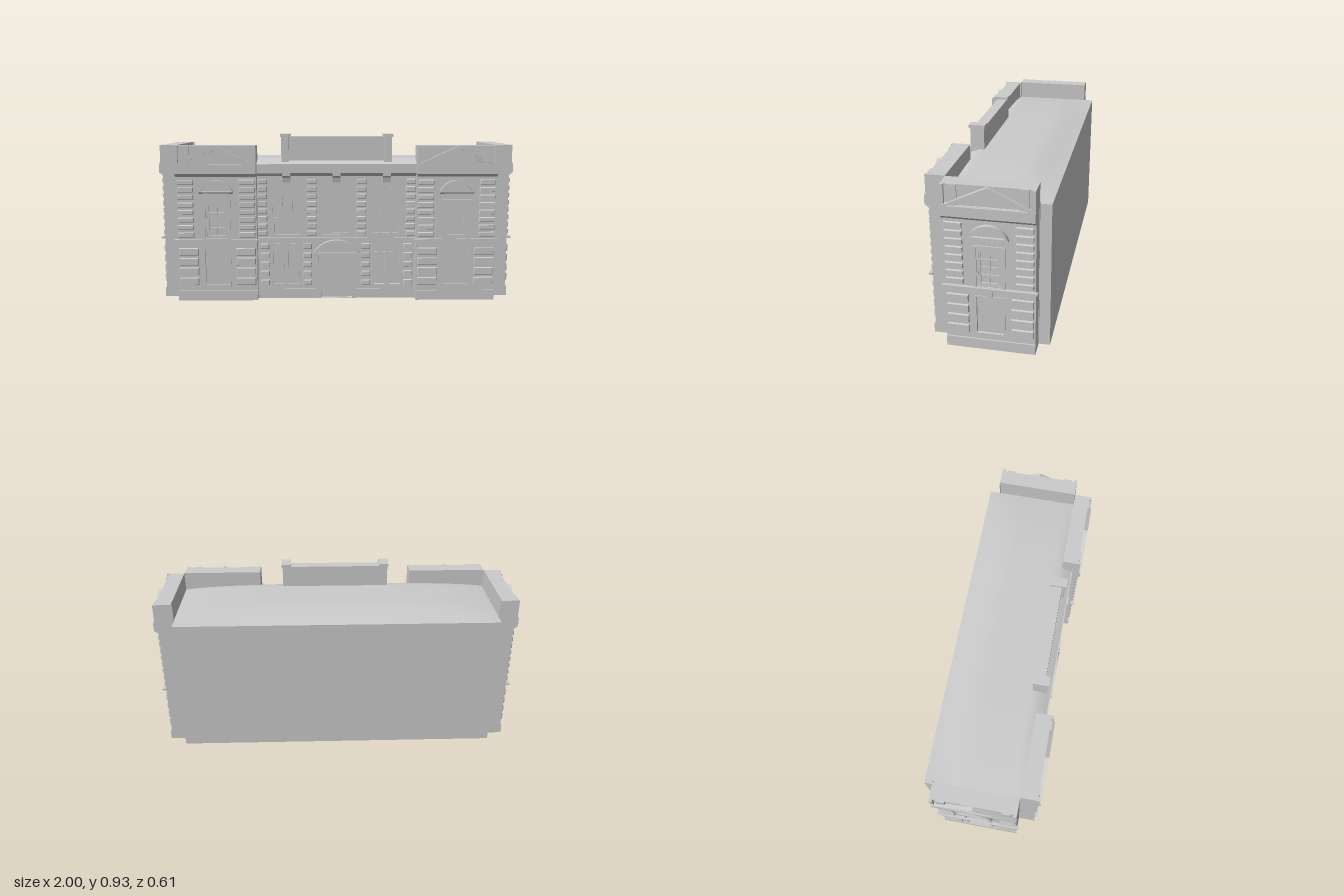
import * as THREE from 'three';

const mat = new THREE.MeshStandardMaterial({ color: 0xcccccc, side: THREE.DoubleSide, flatShading: true });
const roofMat = new THREE.MeshStandardMaterial({ color: 0xcccccc, side: THREE.DoubleSide });

function add(group, name, geometry, material = mat) {
  const mesh = new THREE.Mesh(geometry, material);
  mesh.name = name;
  group.add(mesh);
  return mesh;
}

// Box given by its limits; skip lists faces left open (0 +x, 1 -x, 2 +y, 3 -y, 4 +z, 5 -z)
function box(group, name, x0, x1, y0, y1, z0, z1, skip = []) {
  const g = new THREE.BoxGeometry(x1 - x0, y1 - y0, z1 - z0);
  g.translate((x0 + x1) / 2, (y0 + y1) / 2, (z0 + z1) / 2);
  if (skip.length) {
    const index = Array.from(g.index.array);
    g.setIndex(index.filter((_, i) => !skip.includes(Math.floor(i / 6))));
    g.clearGroups();
  }
  return add(group, name, g);
}

// Outlines in the facade plane
const poly = (pts) => new THREE.Shape(pts.map(([x, y]) => new THREE.Vector2(x, y)));
const rect = (x0, x1, y0, y1) => poly([[x0, y0], [x1, y0], [x1, y1], [x0, y1]]);

function arch(cx, hw, y0, spring) {
  const s = new THREE.Shape();
  s.moveTo(cx - hw, y0);
  s.lineTo(cx + hw, y0);
  s.lineTo(cx + hw, spring);
  s.absarc(cx, spring, hw, 0, Math.PI, false);
  s.closePath();
  return s;
}

function segment(hw, base, rise) {
  const r = (hw * hw + rise * rise) / (2 * rise);
  const a = Math.asin(hw / r);
  const s = new THREE.Shape();
  s.absarc(0, base + rise - r, r, Math.PI / 2 - a, Math.PI / 2 + a, false);
  s.closePath();
  return s;
}

// Flat plate from z0 to z1 with holes cut through it
function plate(group, name, shape, z0, z1, holes = []) {
  shape.holes.push(...holes);
  const g = new THREE.ExtrudeGeometry(shape, { depth: z1 - z0, bevelEnabled: false, curveSegments: 14 });
  return add(group, name, g.translate(0, 0, z0));
}

// Moulding of profile [out, y] running along x
function moulding(group, name, x0, x1, profile) {
  const g = new THREE.ExtrudeGeometry(poly(profile.map(([o, y]) => [-o, y])), { depth: x1 - x0, bevelEnabled: false });
  return add(group, name, g.rotateY(Math.PI / 2).translate(x0, 0, 0));
}

// Column of raised stones with bevelled faces
function quoins(group, x0, x1, yFirst, pitch, count, h) {
  for (let i = 0; i < count; i++) {
    const w = x1 - x0;
    const g = new THREE.BoxGeometry(w, h, 0.01);
    const p = g.attributes.position;
    for (let v = 0; v < p.count; v++) {
      if (p.getZ(v) > 0) p.setXY(v, p.getX(v) * (1 - 0.008 / w), p.getY(v) * (1 - 0.008 / h));
    }
    g.translate((x0 + x1) / 2, yFirst + i * pitch, 0.004);
    add(group, 'quoinStone', g);
  }
}

const cornice = [[0, 0.698], [0.022, 0.716], [0.022, 0.766], [0, 0.766]];

// One bay with a pediment, its wall front at z = 0
function pavilion(name) {
  const g = new THREE.Group();
  g.name = name;
  const H = 0.2225, D = 0.085;
  box(g, 'sideWalls', -H, H, 0, 0.77, -D, 0, [2, 3, 4, 5]);
  box(g, 'parapet', -H, H, 0.765, 0.87, -D, 0);
  plate(g, 'frontWall', rect(-H, H, 0, 0.77), -0.012, 0,
    [rect(-0.052, 0.052, 0.362, 0.545), rect(-0.067, 0.067, 0.09, 0.29)]);
  box(g, 'plinth', -H, H, 0, 0.055, 0, 0.008, [3]);
  box(g, 'beltCourse', -H - 0.011, H + 0.011, 0.34, 0.35, 0, 0.018);
  moulding(g, 'cornice', -H, H, cornice);

  // Pediment and parapet piers
  plate(g, 'pediment', poly([[-H, 0.765], [H, 0.765], [0, 0.87]]), 0, 0.022,
    [poly([[-0.19, 0.767], [0.19, 0.767], [0, 0.857]])]);
  plate(g, 'pedimentInnerTrim', poly([[-0.19, 0.766], [0.19, 0.766], [0, 0.858]]), 0, 0.012,
    [poly([[-0.158, 0.768], [0.158, 0.768], [0, 0.845]])]);
  for (const s of [-1, 1]) {
    const a = s * 0.145, b = s * 0.192;
    box(g, 'parapetPier', Math.min(a, b), Math.max(a, b), 0.766, 0.87, 0, 0.008);
    box(g, 'parapetEnd', s < 0 ? -H : 0.205, s < 0 ? -0.205 : H, 0.766, 0.87, 0, 0.014);
  }

  // Upper window with hood
  plate(g, 'windowSurround', rect(-0.078, 0.078, 0.35, 0.57), 0, 0.007, [rect(-0.062, 0.062, 0.352, 0.556)]);
  plate(g, 'windowFrame', rect(-0.053, 0.053, 0.361, 0.546), -0.012, -0.002, [rect(-0.043, 0.043, 0.371, 0.536)]);
  box(g, 'windowGlass', -0.052, 0.052, 0.36, 0.547, -0.014, -0.011);
  box(g, 'glazingBar', -0.003, 0.003, 0.37, 0.537, -0.012, -0.005);
  for (let i = 1; i < 4; i++) {
    const y = 0.371 + i * 0.0412;
    box(g, 'glazingBar', -0.044, 0.044, y - 0.003, y + 0.003, -0.012, -0.005);
  }
  plate(g, 'hoodFrieze', poly([[-0.064, 0.578], [0.064, 0.578], [0.073, 0.606], [-0.073, 0.606]]), 0, 0.01);
  moulding(g, 'hoodShelf', -0.095, 0.095, [[0, 0.603], [0.022, 0.613], [0.022, 0.619], [0, 0.619]]);
  plate(g, 'hoodArch', segment(0.095, 0.618, 0.063), 0, 0.022, [segment(0.08, 0.62, 0.049)]);
  plate(g, 'hoodTympanum', segment(0.084, 0.619, 0.052), 0, 0.006);

  // Ground floor panel
  box(g, 'panelInset', -0.068, 0.068, 0.089, 0.291, -0.014, -0.01);
  plate(g, 'panelFrame', rect(-0.076, 0.076, 0.08, 0.3), 0, 0.004, [rect(-0.067, 0.067, 0.09, 0.29)]);
  box(g, 'panelKeystone', -0.016, 0.016, 0.3, 0.34, 0, 0.01);

  for (const s of [-1, 1]) {
    const span = (a, b) => (s > 0 ? [a, b] : [-b, -a]);
    quoins(g, ...span(0.126, 0.215), 0.374, 0.042, 8, 0.03);
    quoins(g, ...span(0.104, 0.215), 0.109, 0.0565, 4, 0.044);
  }
  return g;
}

// Middle bay with the doorway, its wall front at z = 0
function centreBay() {
  const g = new THREE.Group();
  g.name = 'centreBay';
  const H = 0.445;
  const windows = [-0.28, 0, 0.28], lower = [-0.33, -0.245, 0.245, 0.33];
  plate(g, 'frontWall', rect(-H, H, 0, 0.77), -0.015, 0, [
    ...windows.map((x) => arch(x, 0.082, 0.365, 0.565)),
    ...lower.map((x) => rect(x - 0.03, x + 0.03, 0.08, 0.265)),
    arch(0, 0.088, 0.002, 0.172),
  ]);
  box(g, 'wallBacking', -0.4, 0.4, 0.003, 0.69, -0.018, -0.014);
  for (const x of [-H, -0.115, 0.115, H]) {
    if (x < 0 && x > -H) box(g, 'plinth', -H, x, 0, 0.055, 0, 0.006, [3]);
    if (x > 0 && x < H) box(g, 'plinth', x, H, 0, 0.055, 0, 0.006, [3]);
  }
  box(g, 'beltCourse', -H, H, 0.34, 0.35, 0, 0.014);
  moulding(g, 'cornice', -H, H, cornice);

  // Arched windows with bars and brackets
  for (const x of windows) {
    plate(g, 'archedWindowFrame', arch(x, 0.082, 0.365, 0.565), -0.014, -0.004, [arch(x, 0.07, 0.377, 0.565)]);
    for (const s of [-1, 1]) box(g, 'mullion', x + s * 0.028 - 0.005, x + s * 0.028 + 0.005, 0.37, 0.625, -0.015, -0.005);
    for (const y of [0.46, 0.56]) box(g, 'transom', x - 0.075, x + 0.075, y - 0.005, y + 0.005, -0.015, -0.005);
    moulding(g, 'corniceBracket', x - 0.022, x + 0.022,
      [[0, 0.662], [0.012, 0.664], [0.018, 0.69], [0.028, 0.7], [0.028, 0.725], [0, 0.725]]);
  }
  // Ground floor windows
  for (const x of lower) {
    plate(g, 'lowerWindowFrame', rect(x - 0.035, x + 0.035, 0.075, 0.27), 0, 0.004, [rect(x - 0.03, x + 0.03, 0.08, 0.265)]);
    box(g, 'lowerWindowKeystone', x - 0.012, x + 0.012, 0.27, 0.315, 0, 0.008);
  }
  // Doorway with segmental hood
  plate(g, 'doorSurround', rect(-0.108, 0.108, 0, 0.268), 0, 0.014, [arch(0, 0.088, 0.002, 0.172)]);
  plate(g, 'doorHood', segment(0.132, 0.264, 0.074), 0, 0.03, [segment(0.107, 0.266, 0.058)]);
  plate(g, 'doorTympanum', segment(0.11, 0.265, 0.06), 0, 0.012);
  for (const s of [-1, 1]) box(g, 'doorBracket', s * 0.116 - 0.012, s * 0.116 + 0.012, 0.22, 0.266, 0, 0.025);

  for (const s of [-1, 1]) {
    const span = (a, b) => (s > 0 ? [a, b] : [-b, -a]);
    for (const [a, b] of [[0.112, 0.167], [0.39, 0.443]]) quoins(g, ...span(a, b), 0.374, 0.042, 8, 0.03);
    for (const [a, b] of [[0.14, 0.19], [0.38, 0.43]]) quoins(g, ...span(a, b), 0.09, 0.0525, 5, 0.033);
  }
  return g;
}

export function createModel() {
  const model = new THREE.Group();
  model.name = 'palaceFacade';

  // Main block: back and end walls, open below
  box(model, 'mainBlock', -0.89, 0.89, 0, 0.767, -0.305, 0.2, [2, 3, 4]);

  // Gently domed roof
  const roof = new THREE.PlaneGeometry(1.78, 0.56, 24, 16).rotateX(-Math.PI / 2).translate(0, 0, -0.025);
  const p = roof.attributes.position;
  for (let i = 0; i < p.count; i++) {
    const across = 1 - (p.getX(i) / 0.89) ** 4;
    const back = THREE.MathUtils.smoothstep(p.getZ(i), -0.36, -0.1) - THREE.MathUtils.smoothstep(-0.305, -0.36, -0.1);
    const front = THREE.MathUtils.clamp((0.255 - p.getZ(i)) / 0.06, 0, 1);
    p.setY(i, 0.767 + 0.033 * across * Math.max(0, back) * front);
  }
  roof.computeVertexNormals();
  add(model, 'roof', roof, roofMat);

  const centre = centreBay();
  centre.position.z = 0.239;
  model.add(centre);

  // Front pavilions and end wings
  for (const s of [-1, 1]) {
    const front = pavilion(s > 0 ? 'leftPavilion' : 'rightPavilion');
    front.position.set(s * 0.6675, 0, 0.285);
    const end = pavilion(s > 0 ? 'leftWing' : 'rightWing');
    end.position.set(s * 0.977, 0, -0.025);
    end.rotation.y = s * Math.PI / 2;
    model.add(front, end);
    for (const z of [-0.2475, 0.1975]) box(model, 'wingReturn', s > 0 ? 0.885 : -0.895, s > 0 ? 0.895 : -0.885, 0, 0.87, z - 0.002, z);

    // Posts of the central parapet
    box(model, 'parapetPost', s * 0.287 - 0.021, s * 0.287 + 0.021, 0.765, 0.915, 0.16, 0.236);
    box(model, 'parapetPostCap', s * 0.287 - 0.027, s * 0.287 + 0.027, 0.915, 0.932, 0.155, 0.244);
  }
  box(model, 'centralParapet', -0.27, 0.27, 0.765, 0.918, 0.16, 0.22);
  return model;
}
